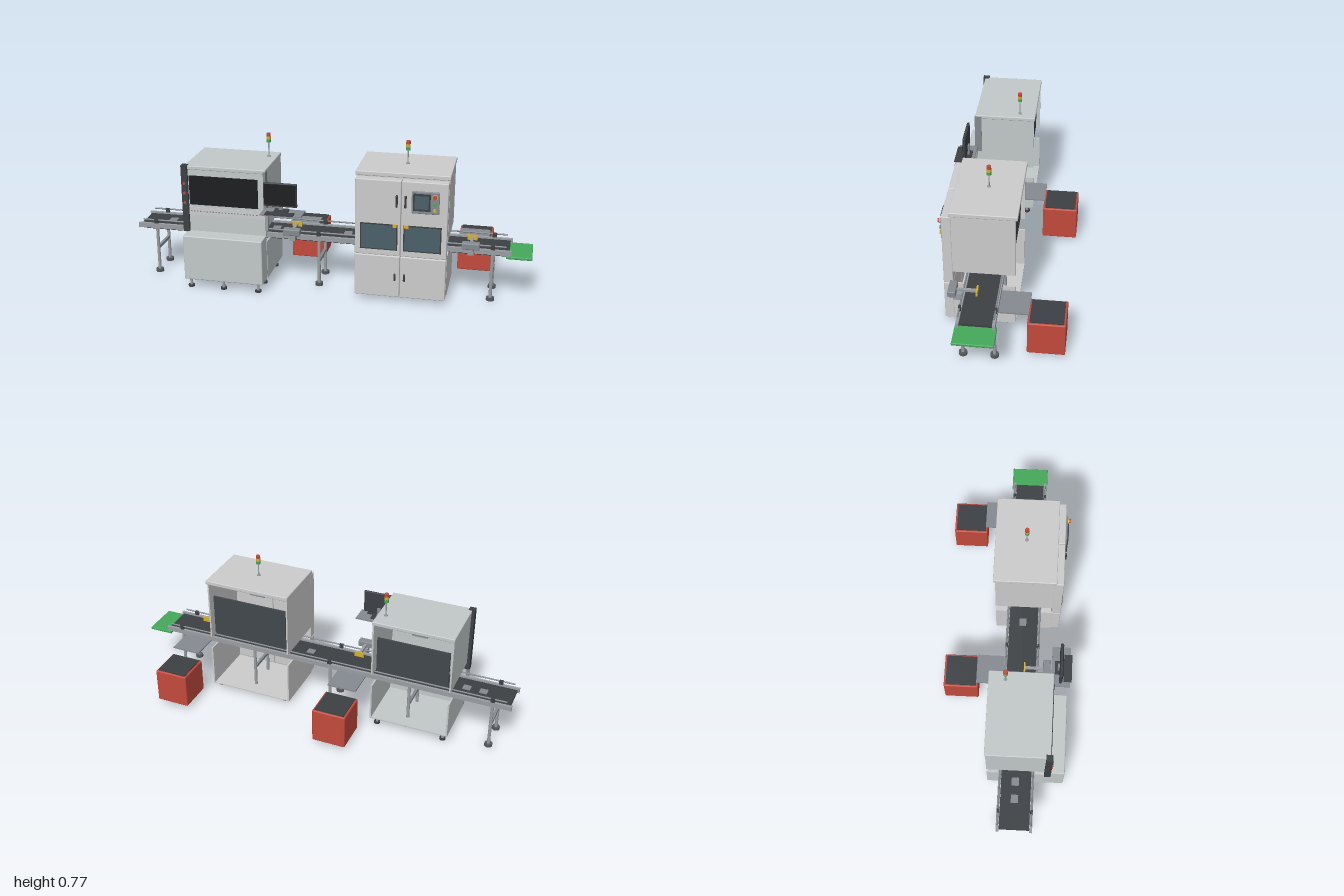
import * as THREE from 'three';
import { RoundedBoxGeometry } from 'three/addons/geometries/RoundedBoxGeometry.js';

const mats = {};
const mat = (color) => (mats[color] ??= new THREE.MeshStandardMaterial({ color }));
const LIGHT = 0xc8c8c5, PALE = 0xc2c9c9, STEEL = 0x9a9ea2, GREY = 0x848a90, DARK = 0x3c4044, BLACK = 0x1c1e20;
const RED = 0xc24a3c, YELLOW = 0xd8b02c, GREEN = 0x45a85a, GLASS = 0x4a6069;

function add(parent, name, geometry, color, x, y, z) {
  const mesh = new THREE.Mesh(geometry, mat(color));
  mesh.name = name;
  mesh.position.set(x, y, z);
  parent.add(mesh);
  return mesh;
}

// Box given by its limits on each axis; r rounds its edges
function box(parent, name, color, [x0, x1], [y0, y1], [z0, z1], r = 0) {
  const s = [x1 - x0, y1 - y0, z1 - z0];
  const g = r ? new RoundedBoxGeometry(...s, 2, r) : new THREE.BoxGeometry(...s);
  return add(parent, name, g, color, (x0 + x1) / 2, (y0 + y1) / 2, (z0 + z1) / 2);
}

// Upright cylinder between two heights
function post(parent, name, color, r, x, [y0, y1], z) {
  return add(parent, name, new THREE.CylinderGeometry(r, r, y1 - y0, 20), color, x, (y0 + y1) / 2, z);
}

// Short cylinder facing the front
function button(parent, name, color, r, x, y, z, depth = 0.008) {
  const b = add(parent, name, new THREE.CylinderGeometry(r, r, depth, 16), color, x, y, z);
  b.rotation.x = Math.PI / 2;
}

function group(parent, name) {
  const g = new THREE.Group();
  g.name = name;
  parent.add(g);
  return g;
}

function signalTower(parent, x, y, z, poleHeight) {
  const g = group(parent, 'signalTower');
  post(g, 'towerBase', STEEL, 0.009, x, [y, y + 0.004], z);
  post(g, 'towerPole', STEEL, 0.003, x, [y, y + poleHeight], z);
  [GREEN, YELLOW, RED].forEach((c, i) => {
    const h = y + poleHeight + i * 0.0158;
    post(g, 'towerLamp', c, 0.011, x, [h, h + 0.0152], z);
  });
}

// Cabinet open at the back with a slot through both sides for the belt
function shell(parent, color, x0, x1, bottom, top) {
  const t = 0.008;
  for (const x of [x0, x1 - t]) {
    box(parent, 'lowerSideWall', color, [x, x + t], [bottom, 0.243], [-0.075, 0.22]);
    box(parent, 'upperSideWall', color, [x, x + t], [0.312, top], [-0.075, 0.22]);
  }
  box(parent, 'floorPlate', color, [x0, x1], [bottom, bottom + 0.006], [-0.075, 0.22]);
  box(parent, 'rearScreen', 0x42484e, [x0 + 0.02, x1 - 0.02], [0.335, top - 0.085], [-0.055, -0.045]);
  box(parent, 'inspectionCamera', GREY, [(x0 + x1) / 2 - 0.04, (x0 + x1) / 2 + 0.04], [top - 0.09, top - 0.02], [0.04, 0.11]);
}

function foot(parent, x, z, top) {
  post(parent, 'footStem', STEEL, 0.007, x, [0.008, top], z);
  post(parent, 'footPad', DARK, 0.016, x, [0, 0.01], z);
}

function conveyor(parent) {
  const g = group(parent, 'conveyor');
  box(g, 'belt', DARK, [-0.99, 0.89], [0.25, 0.262], [0, 0.148]);
  box(g, 'beltReturn', BLACK, [-0.98, 0.88], [0.235, 0.25], [0.004, 0.144]);
  for (const z of [-0.008, 0.156]) {
    box(g, 'sideFrame', STEEL, [-1, 0.9], [0.245, 0.27], [z - 0.007, z + 0.007]);
    const rail = add(g, 'guideRail', new THREE.CylinderGeometry(0.004, 0.004, 1.85, 10), GREY, -0.05, 0.288, z);
    rail.rotation.z = Math.PI / 2;
    for (const x of [-0.905, -0.05, 0.81])
      box(g, 'railBracket', DARK, [x - 0.01, x + 0.01], [0.265, 0.292], [z - 0.006, z + 0.006]);
  }
  for (const x of [-0.905, -0.48, -0.05, 0.38, 0.81]) {
    for (const z of [0, 0.148]) {
      post(g, 'leg', STEEL, 0.008, x, [0.01, 0.248], z);
      post(g, 'legPad', 0x55595d, 0.02, x, [0, 0.015], z);
    }
    box(g, 'crossBrace', GREY, [x - 0.007, x + 0.007], [0.128, 0.142], [0, 0.148]);
  }
  for (const x of [-0.84, -0.755, -0.53, -0.285, 0.085, 0.38])
    box(g, 'workpiece', GREY, [x - 0.02, x + 0.02], [0.262, 0.267], [0.052, 0.088]);
  box(g, 'outfeedPlate', GREEN, [0.875, 1], [0.231, 0.245], [-0.022, 0.168], 0.004);
}

// Pusher, chute and bin that take rejected pieces off the belt
function rejectStation(parent, x) {
  const g = group(parent, 'rejectStation');
  box(g, 'pusherBlock', GREY, [x - 0.043, x + 0.043], [0.285, 0.318], [0.184, 0.222], 0.005);
  box(g, 'pusherBracket', STEEL, [x - 0.015, x + 0.015], [0.25, 0.287], [0.158, 0.2]);
  box(g, 'pusherRod', STEEL, [x - 0.007, x + 0.007], [0.295, 0.307], [0.09, 0.19]);
  box(g, 'pusherHead', YELLOW, [x - 0.025, x + 0.025], [0.287, 0.313], [0.086, 0.094]);
  box(g, 'chute', GREY, [x - 0.075, x + 0.075], [0.242, 0.249], [-0.155, -0.015]);
  box(g, 'bin', RED, [x - 0.087, x + 0.087], [0.02, 0.2], [-0.325, -0.147], 0.006);
  box(g, 'binOpening', DARK, [x - 0.077, x + 0.077], [0.198, 0.205], [-0.315, -0.157]);
}

function inspectionMachine(parent) {
  const g = group(parent, 'inspectionMachine');
  shell(g, PALE, -0.71, -0.3, 0.045, 0.605);
  box(g, 'roof', PALE, [-0.712, -0.298], [0.6, 0.62], [-0.08, 0.232], 0.004);
  box(g, 'upperFront', PALE, [-0.695, -0.3], [0.275, 0.605], [0.212, 0.23]);
  box(g, 'frontWindow', BLACK, [-0.688, -0.337], [0.42, 0.57], [0.229, 0.236]);
  box(g, 'ventStrip', LIGHT, [-0.695, -0.3], [0.365, 0.405], [0.229, 0.233]);
  for (let i = 0; i < 22; i++)
    box(g, 'ventSlot', GREY, [-0.685 + i * 0.016, -0.678 + i * 0.016], [0.382, 0.388], [0.232, 0.234]);
  box(g, 'cornerTrim', GREY, [-0.308, -0.296], [0.4, 0.612], [0.2, 0.236]);
  // Dark control column on the right-hand edge
  box(g, 'controlColumn', DARK, [-0.726, -0.694], [0.275, 0.622], [0.21, 0.242]);
  for (const y of [0.43, 0.48, 0.53]) button(g, 'columnButton', RED, 0.007, -0.711, y, 0.244);
  box(g, 'lowerFront', PALE, [-0.708, -0.302], [0.045, 0.278], [0.215, 0.312], 0.005);
  for (const x of [-0.68, -0.51, -0.33]) foot(g, x, 0.292, 0.05);
  for (const x of [-0.68, -0.33]) for (const z of [-0.04, 0.18]) foot(g, x, z, 0.05);
  signalTower(g, -0.34, 0.62, 0.002, 0.075);
  // Operator's monitor and keyboard shelf
  const m = group(g, 'operatorStation');
  box(m, 'monitorCase', DARK, [-0.298, -0.13], [0.455, 0.575], [0.262, 0.275], 0.004);
  box(m, 'monitorScreen', BLACK, [-0.292, -0.136], [0.463, 0.569], [0.274, 0.277]);
  box(m, 'monitorNeck', GREY, [-0.225, -0.205], [0.43, 0.49], [0.253, 0.263]);
  box(m, 'monitorStand', DARK, [-0.245, -0.175], [0.43, 0.436], [0.24, 0.285]);
  box(m, 'keyboardShelf', GREY, [-0.305, -0.1], [0.42, 0.427], [0.225, 0.318]);
  box(m, 'keyboard', DARK, [-0.28, -0.14], [0.427, 0.433], [0.285, 0.325]);
  box(m, 'shelfSupport', STEEL, [-0.302, -0.286], [0.31, 0.42], [0.225, 0.24]);
}

function sortingMachine(parent) {
  const g = group(parent, 'sortingMachine');
  shell(g, LIGHT, 0.152, 0.598, 0.018, 0.635);
  box(g, 'roof', LIGHT, [0.148, 0.602], [0.63, 0.652], [-0.085, 0.23], 0.004);
  box(g, 'frontHeader', LIGHT, [0.152, 0.598], [0.62, 0.635], [0.2, 0.222]);
  const c = 0.375;
  for (const s of [-1, 1]) {
    const span = (a, b) => [Math.min(c + s * a, c + s * b), Math.max(c + s * a, c + s * b)];
    box(g, 'upperDoor', LIGHT, span(0.001, 0.222), [0.242, 0.625], [0.22, 0.265], 0.004);
    box(g, 'lowerDoor', LIGHT, span(0.001, 0.222), [0.025, 0.239], [0.22, 0.265], 0.004);
    box(g, 'windowFrame', DARK, span(0.014, 0.196), [0.272, 0.405], [0.262, 0.268]);
    box(g, 'windowPane', GLASS, span(0.02, 0.19), [0.278, 0.399], [0.266, 0.27]);
    box(g, 'windowLatch', YELLOW, span(0.018, 0.038), [0.392, 0.406], [0.265, 0.274]);
    box(g, 'upperHandle', DARK, span(0.016, 0.026), [0.495, 0.555], [0.263, 0.277], 0.003);
    box(g, 'lowerHandle', DARK, span(0.018, 0.028), [0.115, 0.15], [0.263, 0.276], 0.003);
    for (const z of [-0.04, 0.18]) foot(g, c + s * 0.19, z, 0.022);
  }
  // Control panel with touch screen and buttons
  const p = group(g, 'controlPanel');
  box(p, 'panelPlate', GREY, [0.425, 0.557], [0.472, 0.582], [0.264, 0.275], 0.003);
  box(p, 'screenBezel', DARK, [0.433, 0.515], [0.488, 0.572], [0.274, 0.281]);
  box(p, 'screen', GLASS, [0.441, 0.507], [0.497, 0.563], [0.28, 0.282]);
  button(p, 'buttonCollar', YELLOW, 0.013, 0.536, 0.56, 0.278);
  button(p, 'stopButton', RED, 0.01, 0.536, 0.56, 0.284, 0.012);
  button(p, 'startButton', GREEN, 0.008, 0.536, 0.523, 0.279);
  button(p, 'resetButton', YELLOW, 0.008, 0.536, 0.494, 0.279);
  // Pick head above the belt
  box(g, 'pickHead', DARK, [0.33, 0.42], [0.275, 0.29], [0.04, 0.108]);
  box(g, 'pickCarriage', STEEL, [0.35, 0.4], [0.29, 0.325], [0.055, 0.085]);
  signalTower(g, 0.377, 0.652, 0.072, 0.068);
}

export function createModel() {
  const model = new THREE.Group();
  model.name = 'inspectionLine';
  conveyor(model);
  inspectionMachine(model);
  sortingMachine(model);
  for (const x of [-0.175, 0.707]) rejectStation(model, x);
  return model;
}
